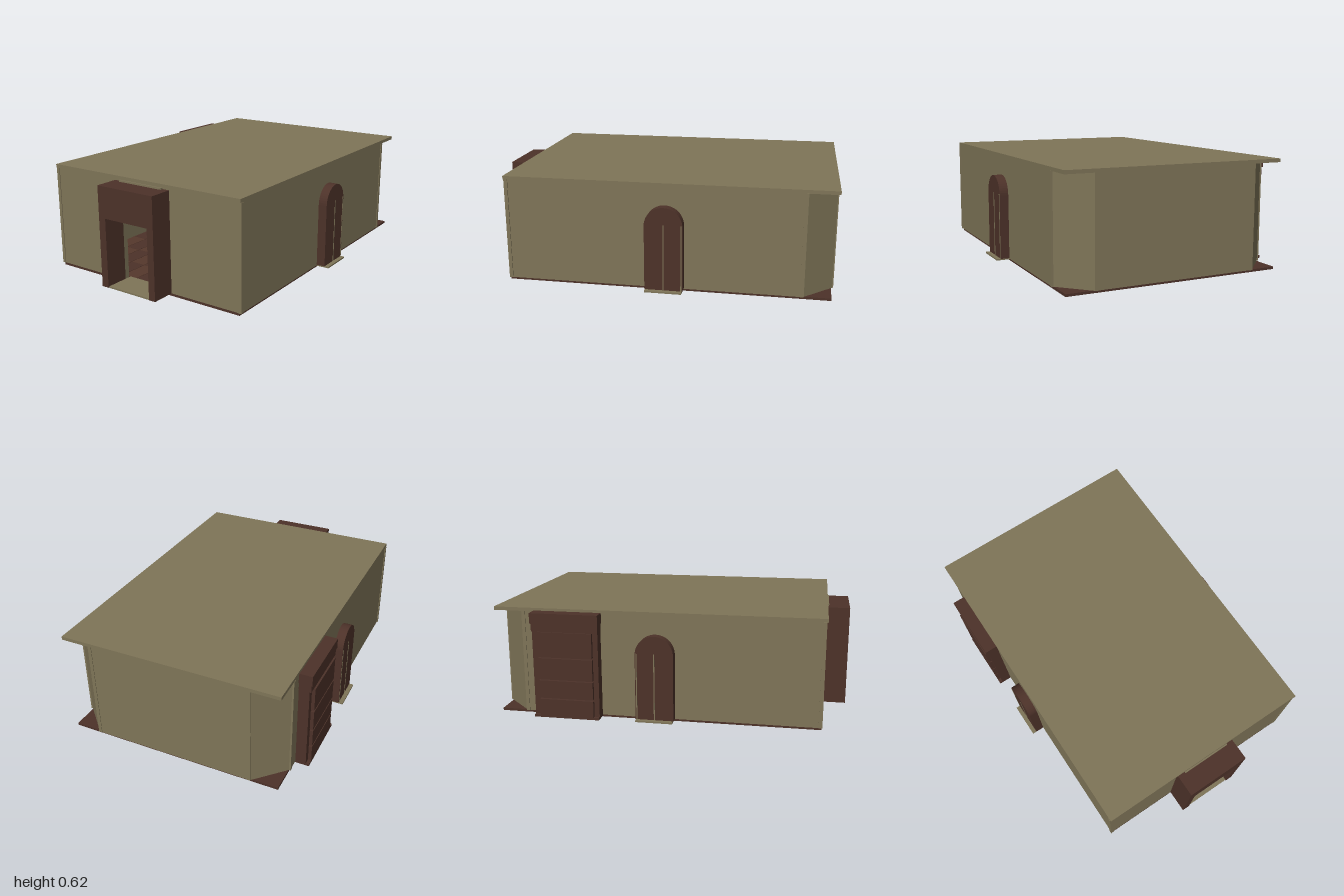
import * as THREE from 'three';

const mat = (name, color, side = THREE.FrontSide) => {
  const m = new THREE.MeshStandardMaterial({ color, side });
  m.name = name;
  return m;
};

export function createModel() {
  const tan = mat('sandstone', 0x7f7558);
  const brown = mat('dark wood', 0x4d3229);
  const plankWood = mat('plank wood', 0x56382c);
  const grey = mat('grey glass', 0x565c5a, THREE.DoubleSide);
  const iron = mat('iron', 0x2a211c);
  const root = new THREE.Group();
  root.name = 'room';

  const add = (name, geo, m, parent = root) => {
    const mesh = new THREE.Mesh(geo, m);
    mesh.name = name;
    parent.add(mesh);
    return mesh;
  };
  // Box given by its limits on each axis
  const box = (name, m, x0, x1, y0, y1, z0, z1, parent = root) => {
    const b = add(name, new THREE.BoxGeometry(x1 - x0, y1 - y0, z1 - z0), m, parent);
    b.position.set((x0 + x1) / 2, (y0 + y1) / 2, (z0 + z1) / 2);
    return b;
  };
  const group = (name) => {
    const g = new THREE.Group();
    g.name = name;
    root.add(g);
    return g;
  };
  // Round-headed outline standing on y0
  const archPath = (path, half, y0, spring, rise) => {
    path.moveTo(-half, y0);
    path.lineTo(half, y0);
    path.lineTo(half, spring);
    path.absellipse(0, spring, half, rise, 0, Math.PI, false);
    path.lineTo(-half, y0);
    return path;
  };
  const extrude = (shape, depth) =>
    new THREE.ExtrudeGeometry(shape, { depth, bevelEnabled: false, curveSegments: 12 });

  // Base and roof slabs
  box('base', brown, -0.635, 0.635, 0, 0.014, -0.985, 0.862);
  box('roof', tan, -0.645, 0.645, 0.605, 0.625, -1, 0.872);

  // Floor planks
  const floor = group('floor');
  for (let i = 0; i < 12; i++) {
    for (let j = 0; j < 9; j++) {
      const x = -0.6 + i * 0.1, z = -0.8 + j * 0.18;
      box('plank', (i + j) % 2 ? brown : plankWood, x, x + 0.097, 0.013, 0.019, z, z + 0.177, floor);
    }
  }

  // Walls, with the back corners cut off
  const walls = group('walls');
  box('frontLintel', tan, -0.15, 0.15, 0.415, 0.605, 0.83, 0.862, walls);
  box('backWall', tan, -0.475, 0.475, 0.014, 0.605, -0.995, -0.965, walls);
  for (const s of [-1, 1]) {
    const span = (a, b) => (s > 0 ? [a, b] : [-b, -a]);
    box('frontWall', tan, ...span(0.147, 0.64), 0.014, 0.605, 0.83, 0.862, walls);
    box('sideWall', tan, ...span(0.61, 0.643), 0.014, 0.605, -0.83, 0.86, walls);
    const corner = box('cornerWall', tan, -0.118, 0.118, 0.014, 0.605, -0.012, 0.012, walls);
    corner.position.x = s * 0.55;
    corner.position.z = -0.905;
    corner.rotation.y = -s * Math.PI / 4;
    box('cornerPost', tan, ...span(0.628, 0.648), 0.014, 0.605, 0.845, 0.866, walls);
    box('sidePost', tan, ...span(0.625, 0.647), 0.014, 0.605, -0.835, -0.815, walls);
    box('backPost', tan, ...span(0.46, 0.48), 0.014, 0.605, -0.998, -0.975, walls);
  }

  // Entrance portal
  const portal = group('portal');
  box('portalHead', brown, -0.19, 0.19, 0.415, 0.595, 0.862, 1, portal);
  box('portalJamb', brown, -0.19, -0.145, 0.014, 0.415, 0.862, 1, portal);
  box('portalJamb', brown, 0.148, 0.19, 0.014, 0.415, 0.862, 1, portal);
  box('threshold', tan, -0.145, 0.148, 0.012, 0.021, 0.82, 0.995, portal);
  box('portalCap', tan, -0.145, 0.148, 0.595, 0.605, 0.86, 0.88, portal);

  // Arched side doors
  for (const s of [-1, 1]) {
    const door = group(s > 0 ? 'leftDoor' : 'rightDoor');
    add('archedFrame', extrude(archPath(new THREE.Shape(), 0.108, 0.018, 0.392, 0.108), 0.09), brown, door);
    for (const x of [0, -s * -0.1]) {
      box('doorGap', tan, x - 0.003, x + 0.003, 0.02, 0.4, 0.089, 0.092, door);
    }
    box('doorSill', tan, -0.105, 0.105, 0.01, 0.019, 0, 0.115, door);
    door.position.set(s * 0.605, 0, -0.06);
    door.rotation.y = s * Math.PI / 2;
  }

  // Bookcase set through the right wall
  const bookcase = group('bookcase');
  box('bookcaseBody', brown, -0.703, -0.6, 0.012, 0.51, -0.755, -0.375, bookcase);
  box('bookcaseFrieze', brown, -0.712, -0.6, 0.505, 0.555, -0.757, -0.373, bookcase);
  box('bookcaseCrown', brown, -0.718, -0.6, 0.55, 0.61, -0.762, -0.37, bookcase);
  box('bookcaseFoot', brown, -0.722, -0.6, 0.006, 0.02, -0.755, -0.375, bookcase);
  for (const [a, b] of [[0.02, 0.115], [0.125, 0.225], [0.235, 0.355], [0.365, 0.505]]) {
    box('bookcaseBack', brown, -0.722, -0.702, a, b, -0.72, -0.405, bookcase);
    box('bookcaseShelf', plankWood, -0.6, -0.56, b - 0.01, b, -0.755, -0.375, bookcase);
  }

  // Fireplace with arched opening
  const fire = group('fireplace');
  const breast = new THREE.Shape();
  breast.moveTo(-0.24, 0.018);
  breast.lineTo(0.24, 0.018);
  breast.lineTo(0.24, 0.26);
  breast.lineTo(-0.24, 0.26);
  breast.holes.push(archPath(new THREE.Path(), 0.132, 0.02, 0.14, 0.09));
  add('chimneyPiece', extrude(breast, 0.1), tan, fire).position.z = -0.965;
  const ring = archPath(new THREE.Shape(), 0.142, 0.019, 0.14, 0.1);
  ring.holes.push(archPath(new THREE.Path(), 0.13, 0.02, 0.14, 0.088));
  add('archTrim', extrude(ring, 0.012), tan, fire).position.z = -0.865;
  const firebox = archPath(new THREE.Shape(), 0.135, 0.018, 0.14, 0.092);
  add('fireboxBack', new THREE.ShapeGeometry(firebox), grey, fire).position.z = -0.96;
  for (const s of [-1, 1]) {
    const tri = new THREE.Shape([
      new THREE.Vector2(s * 0.08, 0.03), new THREE.Vector2(s * 0.08, 0.15), new THREE.Vector2(0, 0.09)]);
    add('fireboxCheek', extrude(tri, 0.004), tan, fire).position.z = -0.958;
  }
  box('mantelMoulding', tan, -0.25, 0.25, 0.245, 0.262, -0.965, -0.85, fire);
  box('mantelShelf', tan, -0.27, 0.27, 0.262, 0.275, -0.965, -0.83, fire);
  // Logs and grate
  const logs = add('logs', new THREE.ConeGeometry(0.065, 0.07, 6), brown, fire);
  logs.position.set(0.015, 0.075, -0.905);
  logs.scale.z = 0.6;
  for (const y of [0.035, 0.058]) box('grateRail', iron, -0.105, 0.11, y, y + 0.005, -0.862, -0.857, fire);
  for (let i = 0; i < 11; i++) {
    const x = -0.1 + i * 0.02;
    box('grateBar', iron, x, x + 0.004, 0.02, i % 2 ? 0.07 : 0.08, -0.862, -0.857, fire);
  }

  // Octagonal mirror over the mantel
  const mirror = group('mirror');
  [['mirrorFrame', 0.172, 0.015, tan], ['mirrorBand', 0.163, 0.02, iron],
    ['mirrorRim', 0.154, 0.024, tan], ['mirrorGlass', 0.14, 0.028, grey]].forEach(([name, r, d, m]) => {
    const disc = add(name, new THREE.CylinderGeometry(r, r, d, 8), m, mirror);
    disc.rotation.set(Math.PI / 2, Math.PI / 8, 0);
    disc.position.set(0, 0.45, -0.965 + d / 2);
  });

  // Mantel candlesticks
  const stick = [[0, 0], [0.012, 0], [0.004, 0.008], [0.004, 0.025], [0.008, 0.03], [0.004, 0.034], [0.004, 0.05], [0, 0.05]]
    .map(([x, y]) => new THREE.Vector2(x, y));
  for (const x of [-0.135, 0.125]) {
    add('candlestick', new THREE.LatheGeometry(stick, 8), iron, fire).position.set(x, 0.275, -0.87);
  }
  return root;
}
